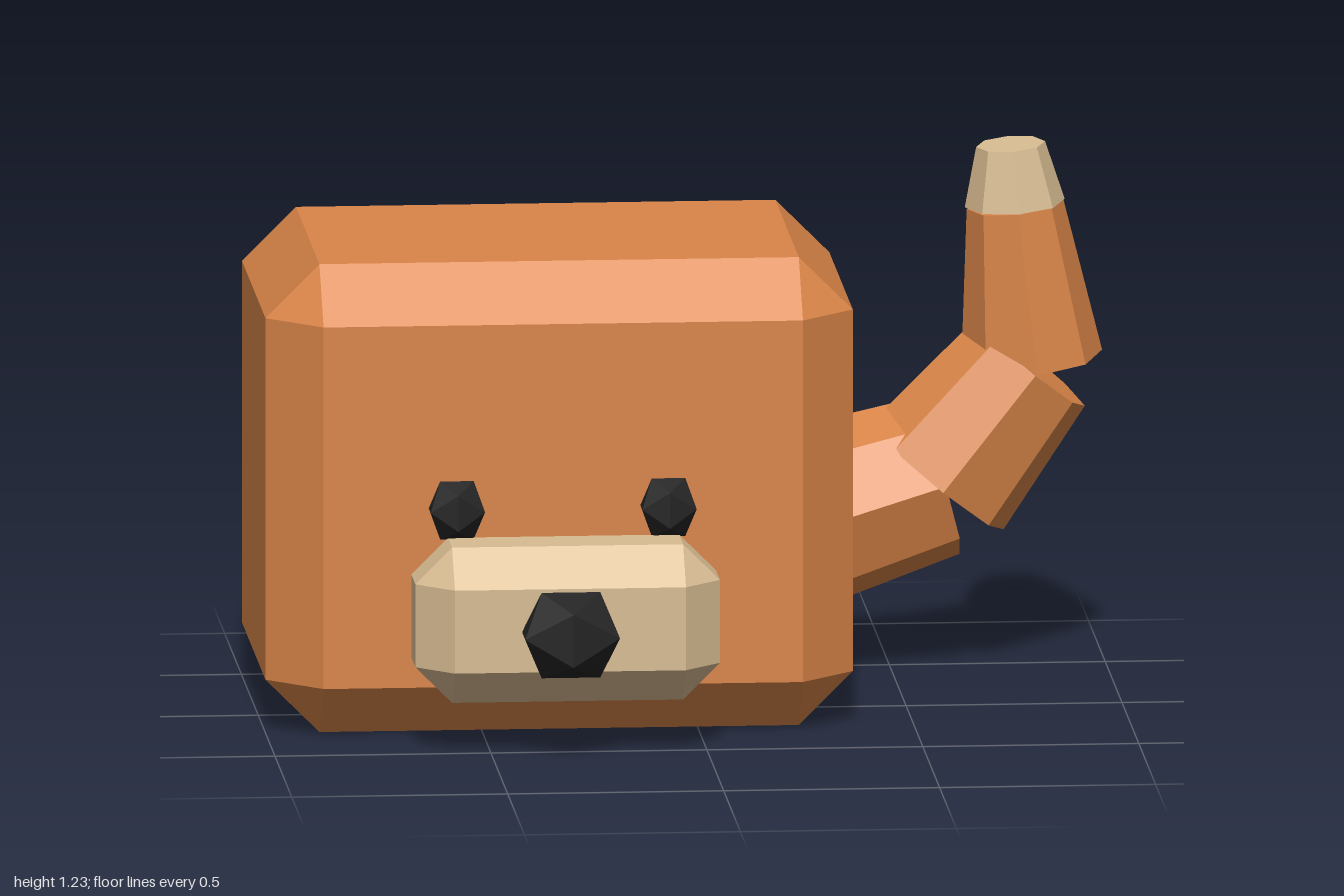
import * as THREE from 'three';
import { ConvexGeometry } from 'three/addons/geometries/ConvexGeometry.js';

const flat = (name, color) => {
  const m = new THREE.MeshStandardMaterial({ color });
  m.name = name;
  m.flatShading = true;
  return m;
};

// Box with every edge and corner cut at 45 degrees
function chamferedBox(w, h, d, c) {
  const points = [];
  const half = [w / 2, h / 2, d / 2];
  for (const sx of [-1, 1]) for (const sy of [-1, 1]) for (const sz of [-1, 1]) {
    for (let face = 0; face < 3; face++) {
      const p = half.map((v, i) => (i === face ? v : v - c));
      points.push(new THREE.Vector3(sx * p[0], sy * p[1], sz * p[2]));
    }
  }
  return new ConvexGeometry(points);
}

export function createModel() {
  const model = new THREE.Group();
  const orange = flat('orange fur', 0xd98548);
  const cream = flat('cream fur', 0xd8bc92);
  const black = flat('black', 0x222222);

  function add(name, geometry, material, x, y, z) {
    const mesh = new THREE.Mesh(geometry, material);
    mesh.name = name;
    mesh.position.set(x, y, z);
    model.add(mesh);
    return mesh;
  }

  // Body and snout
  add('body', chamferedBox(1.36, 1.1, 0.95, 0.125), orange, -0.32, 0.55, -0.135);
  add('snout', chamferedBox(0.705, 0.365, 0.29, 0.085), cream, -0.323, 0.303, 0.447);

  // Nose and eyes: faceted, slightly squashed balls
  const ball = new THREE.IcosahedronGeometry(1, 0);
  add('nose', ball, black, -0.325, 0.3, 0.633).scale.set(0.129, 0.118, 0.095);
  add('leftEye', ball, black, -0.08, 0.55, 0.387).scale.set(0.074, 0.08, 0.057);
  add('rightEye', ball, black, -0.57, 0.55, 0.387).scale.set(0.074, 0.08, 0.057);

  // Tail: tapering eight-sided segments that bend upward
  function tailSegment(name, material, from, to, r0, r1) {
    const a = new THREE.Vector3(...from), b = new THREE.Vector3(...to);
    const dir = b.clone().sub(a);
    const mid = a.clone().add(b).multiplyScalar(0.5);
    const geometry = new THREE.CylinderGeometry(r1, r0, dir.length(), 8);
    const mesh = add(name, geometry, material, mid.x, mid.y, mid.z);
    mesh.quaternion.setFromUnitVectors(new THREE.Vector3(0, 1, 0), dir.normalize());
  }
  tailSegment('tailBase', orange, [0.245, 0.335, -0.49], [0.61, 0.44, -0.512], 0.215, 0.19);
  tailSegment('tailMiddle', orange, [0.61, 0.44, -0.505], [0.826, 0.705, -0.504], 0.2, 0.164);
  tailSegment('tailUpper', orange, [0.83, 0.715, -0.504], [0.789, 1.085, -0.481], 0.164, 0.112);
  tailSegment('tailTip', cream, [0.789, 1.085, -0.481], [0.779, 1.225, -0.475], 0.116, 0.08);

  return model;
}
